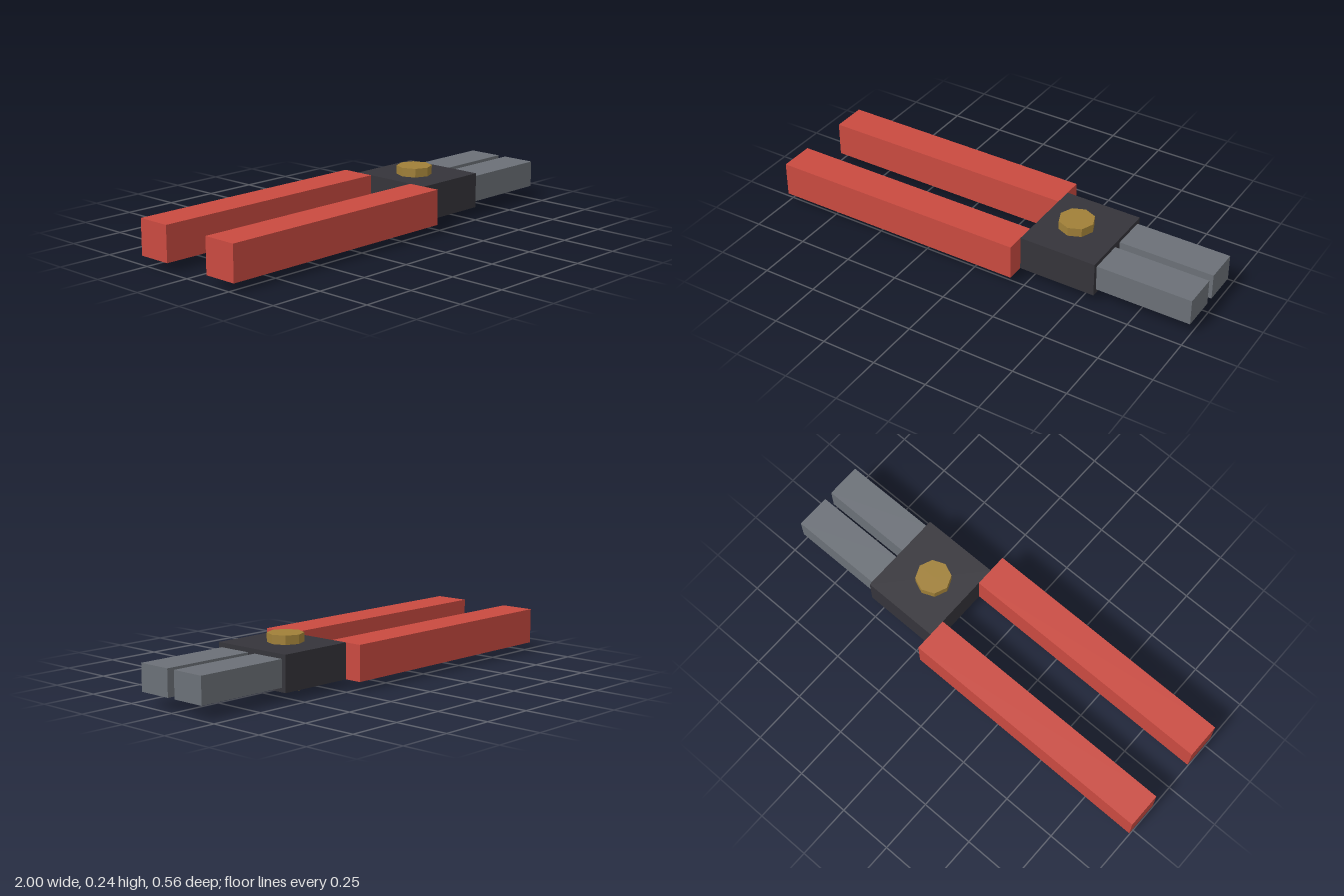
import * as THREE from 'three';

export function createModel() {
  const model = new THREE.Group();
  model.name = 'pliers';

  const material = (name, color) => {
    const m = new THREE.MeshStandardMaterial({ color });
    m.name = name;
    return m;
  };
  const red = material('red grip', 0xc94a40);
  const dark = material('dark steel', 0x35343a);
  const grey = material('grey steel', 0x6b7077);
  const brass = material('brass', 0xa08038);
  brass.flatShading = true;

  const midY = 0.12;
  const add = (name, geometry, mat, x, z) => {
    const mesh = new THREE.Mesh(geometry, mat);
    mesh.name = name;
    mesh.position.set(x, midY, z);
    model.add(mesh);
  };

  // Central joint block and the octagonal pivot bolt through it
  add('jointBlock', new THREE.BoxGeometry(0.36, 0.16, 0.4), dark, 0.38, 0);
  add('pivotBolt', new THREE.CylinderGeometry(0.08, 0.08, 0.24, 8), brass, 0.36, 0);

  // Mirrored handles and jaws
  for (const [side, s] of [['front', 1], ['back', -1]]) {
    add(side + 'Handle', new THREE.BoxGeometry(1.2, 0.16, 0.16), red, -0.4, s * 0.2);
    add(side + 'Jaw', new THREE.BoxGeometry(0.44, 0.12, 0.16), grey, 0.78, s * 0.1);
  }

  return model;
}
